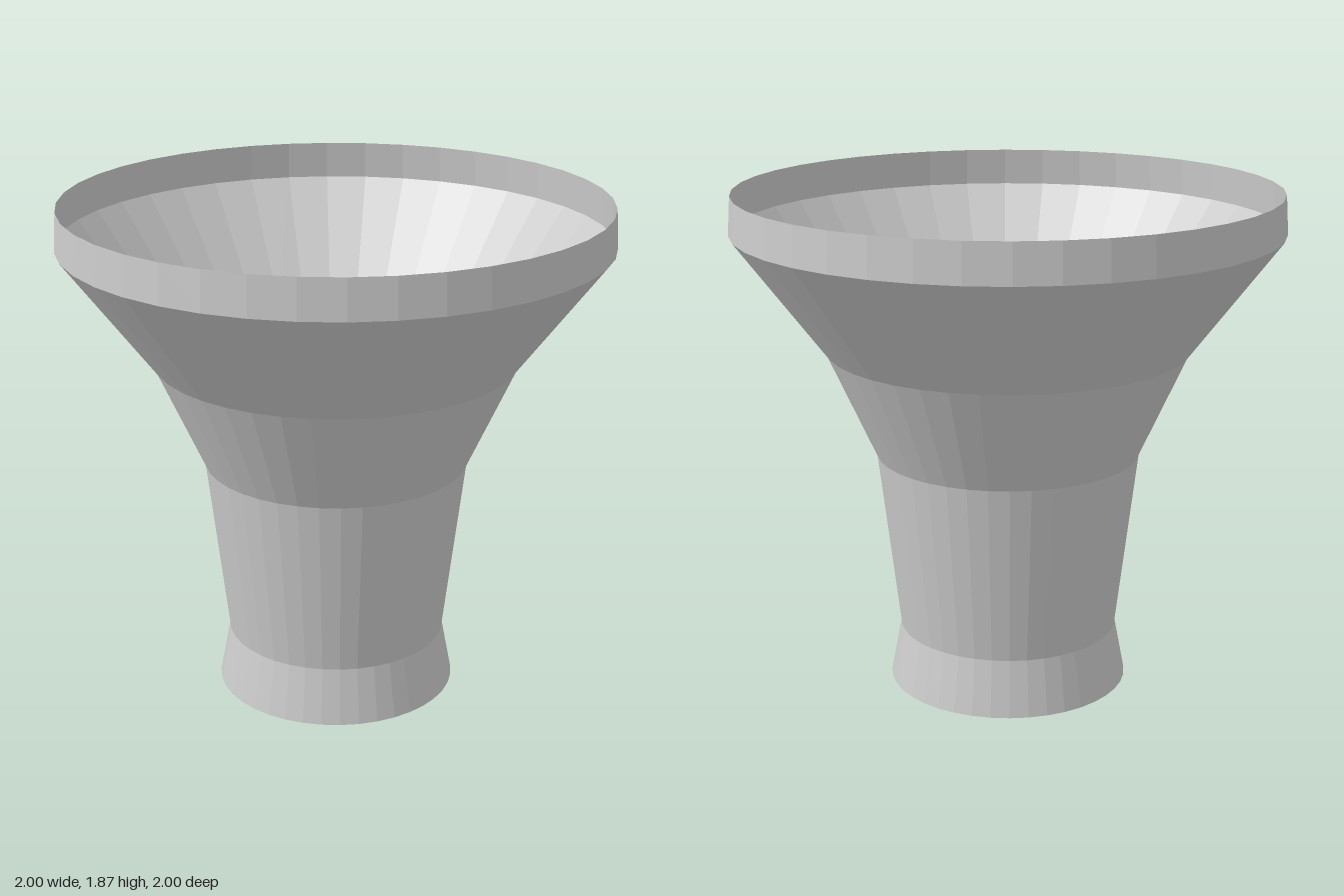
import * as THREE from 'three';

const SEGMENTS = 40;

export function createModel() {
  const model = new THREE.Group();
  model.name = 'flaredFunnel';
  const material = new THREE.MeshStandardMaterial({
    color: 0xcccccc, flatShading: true, side: THREE.DoubleSide,
  });

  // Each band is an open thin shell given by its [radius, height] outline, bottom to top
  const bands = {
    foot: [[0.45, 0], [0.41, 0.21]],
    neck: [[0.41, 0.21], [0.49, 0.89]],
    flaredBowl: [[0.49, 0.89], [0.67, 1.29], [1, 1.73]],
    rim: [[1, 1.73], [0.99, 1.87]],
  };

  for (const [name, outline] of Object.entries(bands)) {
    const points = outline.map(([r, y]) => new THREE.Vector2(r, y));
    const mesh = new THREE.Mesh(new THREE.LatheGeometry(points, SEGMENTS), material);
    mesh.name = name;
    model.add(mesh);
  }
  return model;
}
